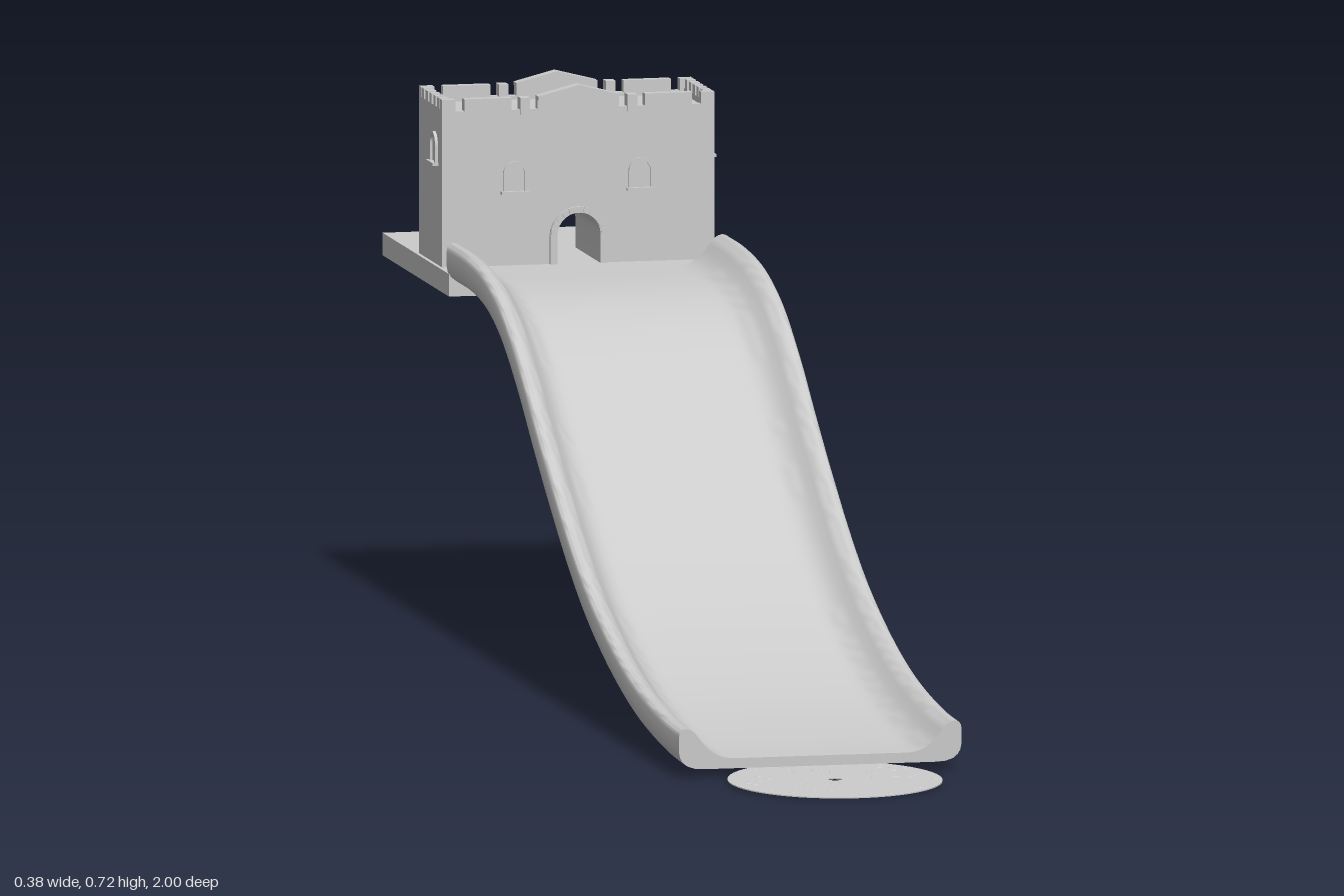
import * as THREE from 'three';
import { toCreasedNormals } from 'three/addons/utils/BufferGeometryUtils.js';

const grey = new THREE.MeshStandardMaterial({ color: 0xcccccc, side: THREE.DoubleSide });

function add(parent, name, geometry, x = 0, y = 0, z = 0) {
  const mesh = new THREE.Mesh(geometry, grey);
  mesh.name = name;
  mesh.position.set(x, y, z);
  parent.add(mesh);
  return mesh;
}

const box = (w, h, d) => new THREE.BoxGeometry(w, h, d);
const toShape = (pts) => new THREE.Shape(pts.map(([x, y]) => new THREE.Vector2(x, y)));
const extrude = (shape, depth, steps = 1) =>
  new THREE.ExtrudeGeometry(shape, { depth, steps, bevelEnabled: false, curveSegments: 14 });

// Round-headed outline standing on y = 0
function archPoints(halfWidth, height, n = 14) {
  const pts = [[halfWidth, 0]];
  for (let i = 0; i <= n; i++) {
    const a = (Math.PI * i) / n;
    pts.push([halfWidth * Math.cos(a), height - halfWidth + halfWidth * Math.sin(a)]);
  }
  pts.push([-halfWidth, 0]);
  return pts;
}

// Arched band: outer outline, then back along the inner one
function archBand(outerW, outerH, innerW, innerH, depth) {
  return extrude(toShape([...archPoints(outerW, outerH), ...archPoints(innerW, innerH).reverse()]), depth);
}

// Chute: a trough section swept along an S-curve
function makeSlide() {
  const half = [
    [0.12, 0], [0.13, 0.0015], [0.14, 0.005], [0.149, 0.011], [0.157, 0.019], [0.164, 0.028],
    [0.17, 0.0355], [0.176, 0.0395], [0.182, 0.041], [0.187, 0.0395], [0.19, 0.036], [0.191, 0.03],
    [0.191, 0.01], [0.1895, 0.002], [0.186, -0.004], [0.18, -0.009], [0.17, -0.0125], [0.157, -0.0135],
  ];
  const section = [...half, ...half.map(([x, y]) => [-x, y]).reverse()];
  const path = new THREE.CatmullRomCurve3([
    [-0.61, 0.48], [-0.5, 0.479], [-0.4, 0.469], [-0.3, 0.439], [-0.2, 0.384], [-0.1, 0.315],
    [0, 0.25], [0.1, 0.19], [0.2, 0.14], [0.3, 0.102], [0.4, 0.072], [0.5, 0.05], [0.6, 0.036],
    [0.7, 0.027], [0.77, 0.025],
  ].map(([z, y]) => new THREE.Vector3(0, y, z)));
  const geo = extrude(toShape(section), 1, 70);
  const pos = geo.attributes.position;
  for (let i = 0; i < pos.count; i++) {
    const u = THREE.MathUtils.clamp(pos.getZ(i), 0, 1);
    const p = path.getPointAt(u);
    const t = path.getTangentAt(u);
    const h = pos.getY(i);
    pos.setXYZ(i, pos.getX(i), p.y + h * t.z, p.z - h * t.y);
  }
  return toCreasedNormals(geo, 0.8);
}

// Arched window with frame, pane and sill, facing +z
function makeWindow(name) {
  const g = new THREE.Group();
  g.name = name;
  add(g, 'windowFrame', archBand(0.017, 0.042, 0.012, 0.037, 0.004));
  add(g, 'windowPane', extrude(toShape(archPoints(0.012, 0.037)), 0.0008));
  add(g, 'windowSill', box(0.04, 0.004, 0.008), 0, 0, 0.004);
  return g;
}

// One long wall's trim, facing +z with the wall plane at z = 0
function makeFacade(name) {
  const g = new THREE.Group();
  g.name = name;
  add(g, 'doorSurround', archBand(0.039, 0.076, 0.029, 0.068, 0.005), 0, 0.48, 0);
  // Wedge-shaped arch stones around the door head
  for (let i = 0; i < 11; i++) {
    const a = (Math.PI * (i + 0.5)) / 11;
    const stone = add(g, 'archStone', box(0.008, 0.0075, 0.002),
      0.034 * Math.cos(a), 0.518 + 0.034 * Math.sin(a), 0.006);
    stone.rotation.z = a;
  }
  for (const s of [-1, 1]) {
    const win = makeWindow('window');
    win.position.set(s * 0.085, 0.577, 0);
    g.add(win);
  }
  // Notched parapet with a shallow gable in the middle
  const right = [
    [0.055, 0.704], [0.055, 0.687], [0.066, 0.687], [0.066, 0.703], [0.079, 0.703], [0.079, 0.687],
    [0.09, 0.687], [0.09, 0.703], [0.154, 0.703], [0.154, 0.687], [0.166, 0.687], [0.166, 0.703],
    [0.184, 0.703], [0.184, 0.68],
  ];
  const outline = [[0, 0.718], ...right, ...right.map(([x, y]) => [-x, y]).reverse()];
  add(g, 'parapet', extrude(toShape(outline), 0.013), 0, 0, -0.013);
  // Raised coping on the gable and the narrow merlons
  const coping = [[0, 0.718], [0.055, 0.704], [0.055, 0.699], [0, 0.712], [-0.055, 0.699], [-0.055, 0.704]];
  add(g, 'gableCoping', extrude(toShape(coping), 0.004));
  for (const s of [-1, 1]) add(g, 'merlon', box(0.013, 0.023, 0.018), s * 0.0725, 0.6915, -0.005);
  return g;
}

function makeTower() {
  const g = new THREE.Group();
  g.name = 'gatehouse';
  const front = -0.667, back = -0.806, depth = front - back, mid = (front + back) / 2;

  // Body with an arched passage right through it
  const passage = archPoints(0.029, 0.068).map(([x, y]) => [x, y + 0.48]);
  const body = toShape([[0.184, 0.48], [0.184, 0.682], [-0.184, 0.682], [-0.184, 0.48], ...passage.reverse()]);
  add(g, 'towerBody', toCreasedNormals(extrude(body, depth), 0.5), 0, 0, back);

  const frontSide = makeFacade('frontFacade');
  frontSide.position.z = front;
  const backSide = makeFacade('backFacade');
  backSide.position.z = back;
  backSide.rotation.y = Math.PI;
  g.add(frontSide, backSide);

  // Short ends: low wall, row of small merlons and a window
  for (const s of [-1, 1]) {
    add(g, 'sideParapet', box(0.012, 0.01, depth - 0.026), s * 0.178, 0.685, mid);
    for (let i = 0; i < 5; i++)
      add(g, 'sideMerlon', box(0.012, 0.014, 0.013), s * 0.178, 0.696, mid + (i - 2) * 0.0228);
    const win = makeWindow('sideWindow');
    win.position.set(s * 0.184, 0.614, mid + 0.027);
    win.rotation.y = (s * Math.PI) / 2;
    g.add(win);
  }
  return g;
}

// Thin splash disc at the foot, tipped slightly toward the front
function makeDisc() {
  const g = new THREE.Group();
  g.name = 'splashDisc';
  const shape = new THREE.Shape().absarc(0, 0, 0.142, 0, Math.PI * 2);
  shape.holes.push(new THREE.Path().absarc(0, 0, 0.009, 0, Math.PI * 2, true));
  const plate = new THREE.ExtrudeGeometry(shape, { depth: 0.0015, bevelEnabled: false, curveSegments: 28 });
  plate.rotateX(-Math.PI / 2);
  add(g, 'discPlate', plate);
  // Scattered flat pebbles
  let seed = 7;
  const rand = () => (seed = (seed * 16807) % 2147483647) / 2147483647;
  for (let i = 0; i < 70; i++) {
    const r = 0.02 + 0.115 * Math.sqrt(rand()), a = rand() * Math.PI * 2;
    const size = 0.0015 + 0.003 * rand();
    const pebble = add(g, 'pebble', new THREE.CylinderGeometry(size * 0.7, size, 0.0012, 6),
      r * Math.cos(a), 0.0018, r * Math.sin(a));
    pebble.rotation.y = a;
    pebble.scale.x = 1.6;
  }
  g.position.set(0, 0.004, 0.858);
  g.rotation.x = 0.028;
  return g;
}

export function createModel() {
  const model = new THREE.Group();
  model.name = 'castleSlide';
  add(model, 'slideChute', makeSlide());
  add(model, 'platform', box(0.378, 0.03, 0.395), 0, 0.465, -0.8025);
  model.add(makeTower(), makeDisc());
  return model;
}
